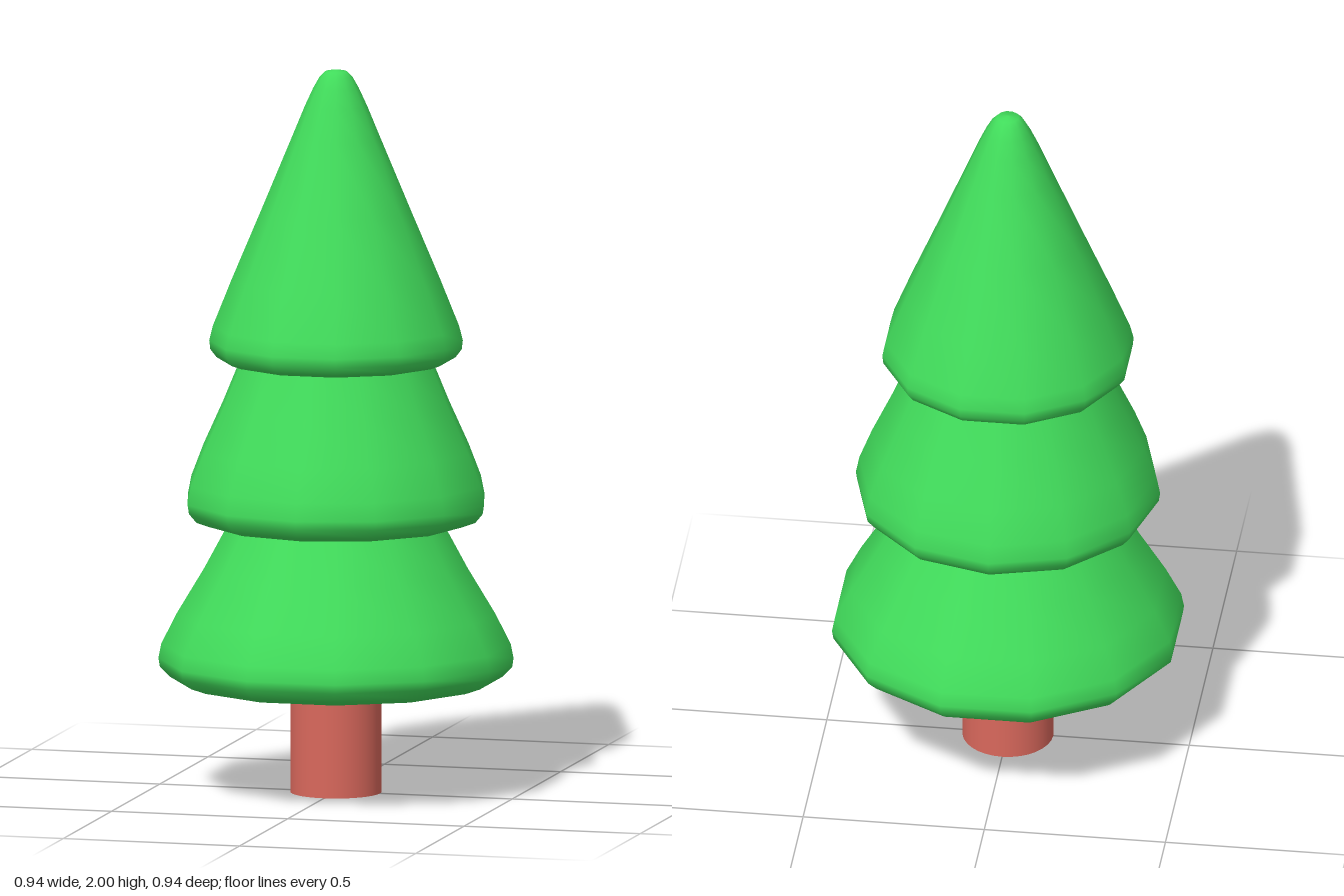
import * as THREE from 'three';

const SIDES = 12;
const green = new THREE.MeshStandardMaterial({ color: 0x41dc5b });
const bark = new THREE.MeshStandardMaterial({ color: 0xd9685c });

// One layer of foliage: a twelve-sided turned shape, profile given bottom to top as [radius, y].
function tier(name, profile, turn) {
  const points = profile.map(([r, y]) => new THREE.Vector2(r, y));
  const mesh = new THREE.Mesh(new THREE.LatheGeometry(points, SIDES, turn), green);
  mesh.name = name;
  return mesh;
}

export function createModel() {
  const tree = new THREE.Group();
  tree.name = 'tree';
  const half = Math.PI / SIDES;

  // Trunk, with a green underside
  const trunk = new THREE.Mesh(new THREE.CylinderGeometry(0.125, 0.125, 0.34, 32), [bark, bark, green]);
  trunk.position.y = 0.17;
  trunk.name = 'trunk';
  tree.add(trunk);

  // Foliage: rounded lower rims, sloping sides, each top hidden in the layer above
  tree.add(
    tier('lowerFoliage', [
      [0, 0.29], [0.3, 0.293], [0.41, 0.302], [0.455, 0.318], [0.482, 0.345], [0.486, 0.37],
      [0.478, 0.41], [0.435, 0.495], [0.36, 0.62], [0.29, 0.75], [0.25, 0.82], [0, 0.83],
    ], half),
    tier('middleFoliage', [
      [0, 0.735], [0.27, 0.738], [0.36, 0.747], [0.395, 0.76], [0.416, 0.785], [0.42, 0.81],
      [0.41, 0.86], [0.375, 0.95], [0.32, 1.07], [0.27, 1.19], [0.24, 1.26], [0, 1.27],
    ], 0),
    tier('upperFoliage', [
      [0, 1.186], [0.22, 1.188], [0.3, 1.193], [0.327, 1.203], [0.344, 1.225], [0.347, 1.25],
      [0.337, 1.29], [0.285, 1.42], [0.205, 1.61], [0.122, 1.81], [0.085, 1.9],
      [0.062, 1.95], [0.045, 1.98], [0.03, 1.995], [0, 2],
    ], half),
  );
  return tree;
}
